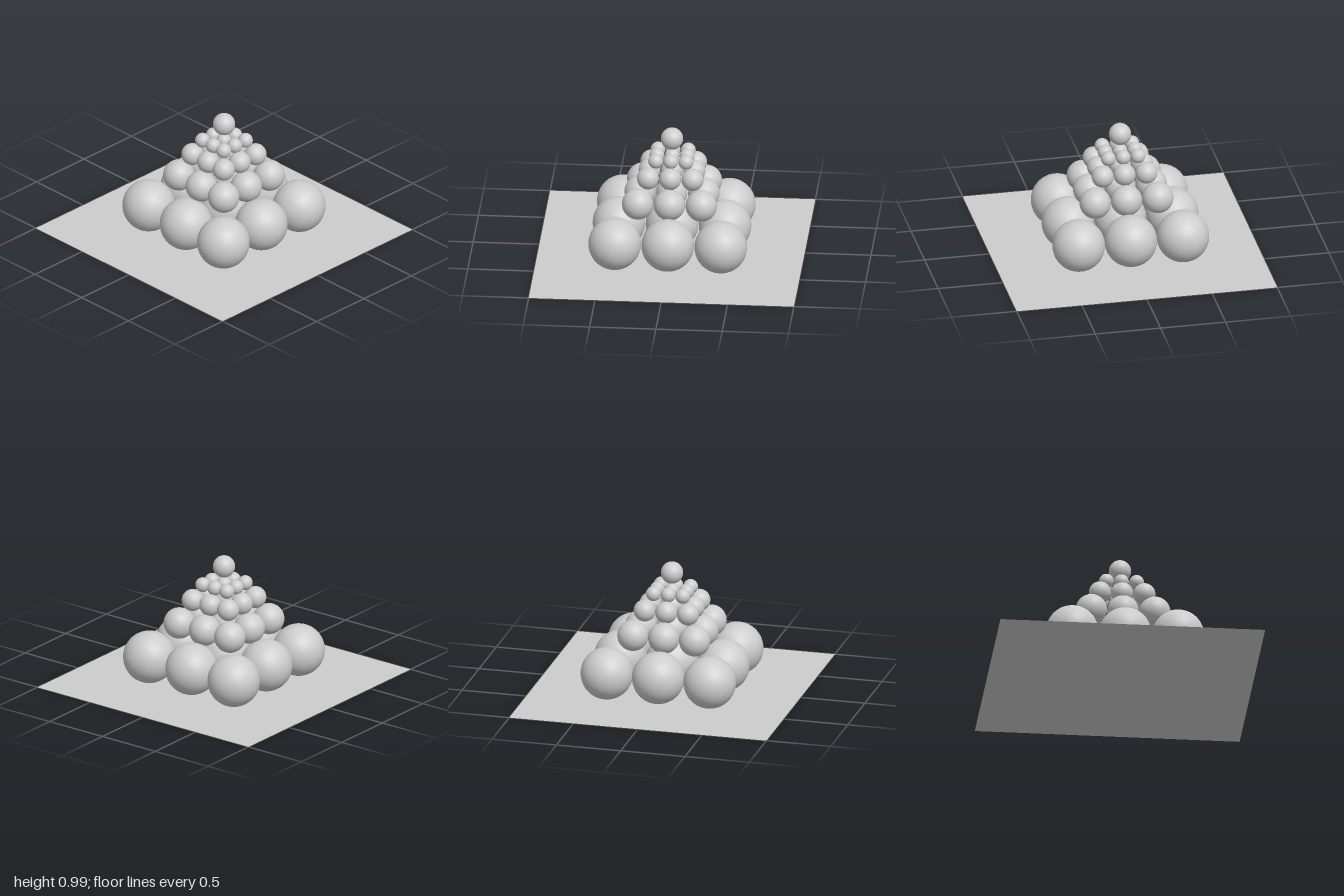
import * as THREE from 'three';

export function createModel() {
  const model = new THREE.Group();
  const grey = new THREE.MeshStandardMaterial({ color: 0xcccccc, side: THREE.DoubleSide });
  grey.name = 'light grey';

  // Flat square ground sheet
  const base = new THREE.Mesh(new THREE.PlaneGeometry(2, 2).rotateX(-Math.PI / 2), grey);
  base.name = 'base';
  model.add(base);

  // Stacked layers of three by three balls
  const layers = [
    { name: 'bottomLayer', radius: 0.198, spacing: 0.4, y: 0.203 },
    { name: 'secondLayer', radius: 0.118, spacing: 0.24, y: 0.465 },
    { name: 'thirdLayer', radius: 0.083, spacing: 0.168, y: 0.645 },
    { name: 'fourthLayer', radius: 0.056, spacing: 0.114, y: 0.765 },
  ];

  function addBall(parent, name, geometry, x, y, z) {
    const ball = new THREE.Mesh(geometry, grey);
    ball.name = name;
    ball.position.set(x, y, z);
    parent.add(ball);
  }

  for (const { name, radius, spacing, y } of layers) {
    const layer = new THREE.Group();
    layer.name = name;
    const geometry = new THREE.SphereGeometry(radius, 48, 32);
    for (let i = -1; i <= 1; i++) {
      for (let k = -1; k <= 1; k++) {
        addBall(layer, 'ball', geometry, i * spacing, y, k * spacing);
      }
    }
    model.add(layer);
  }

  // Single ball at the peak
  addBall(model, 'topBall', new THREE.SphereGeometry(0.084, 48, 32), 0, 0.905, 0);

  return model;
}
